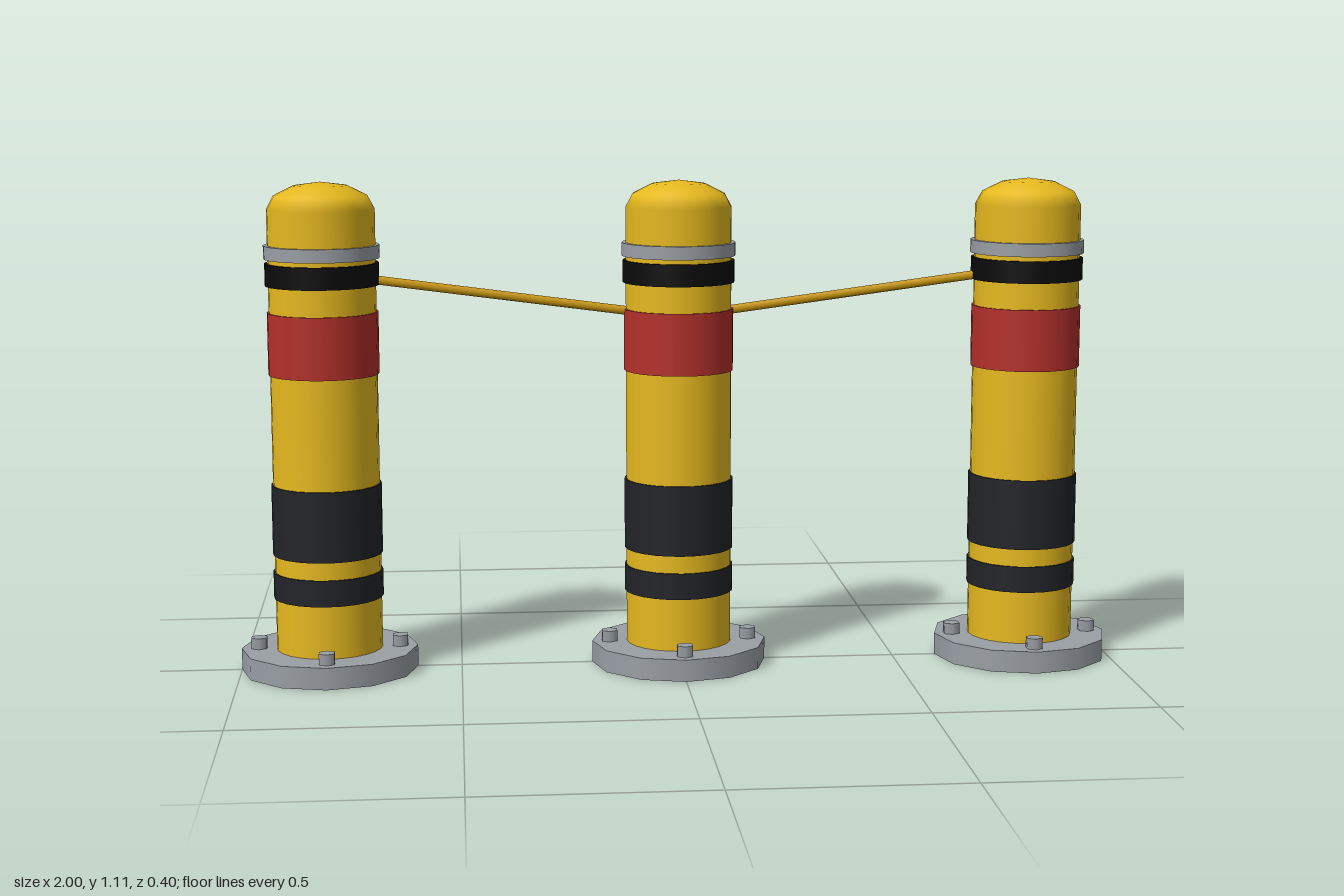
import * as THREE from 'three';

const mat = (color) => new THREE.MeshStandardMaterial({ color });

export function createModel() {
  const model = new THREE.Group();
  const yellow = mat(0xe5b81e), red = mat(0xb3302a), black = mat(0x222428);
  const rubber = mat(0x0b0b0b), steel = mat(0x9a9fa5), rope = mat(0xc8960f);

  // upright cylinder between two heights
  function ring(parent, name, radius, y0, y1, material, sides = 24, x = 0, z = 0) {
    const mesh = new THREE.Mesh(new THREE.CylinderGeometry(radius, radius, y1 - y0, sides), material);
    mesh.name = name;
    mesh.position.set(x, (y0 + y1) / 2, z);
    parent.add(mesh);
  }

  function bollard(name, x) {
    const post = new THREE.Group();
    post.name = name;
    post.position.x = x;

    ring(post, 'basePlate', 0.2, 0, 0.05, steel, 12);
    ring(post, 'tube', 0.12, 0.05, 1.05, yellow);

    // flattened dome cap
    const cap = new THREE.Mesh(
      new THREE.SphereGeometry(0.12, 24, 3, 0, Math.PI * 2, 0, Math.PI / 2), yellow);
    cap.name = 'domeCap';
    cap.scale.y = 0.5;
    cap.position.y = 1.05;
    post.add(cap);

    // painted bands and collars
    ring(post, 'lowerBlackBand', 0.124, 0.17, 0.23, black);
    ring(post, 'wideBlackBand', 0.124, 0.27, 0.43, black);
    ring(post, 'redBand', 0.124, 0.68, 0.82, red);
    ring(post, 'rubberCollar', 0.127, 0.88, 0.93, rubber);
    ring(post, 'steelCollar', 0.129, 0.94, 0.97, steel);

    // hex anchor bolts
    for (let i = 0; i < 4; i++) {
      const a = (i * Math.PI) / 2;
      ring(post, 'anchorBolt', 0.02, 0.05, 0.075, steel, 6, 0.16 * Math.cos(a), 0.16 * Math.sin(a));
    }
    model.add(post);
  }

  bollard('rightBollard', -0.8);
  bollard('middleBollard', 0);
  bollard('leftBollard', 0.8);

  // ropes dipping toward the middle post
  for (const side of [-1, 1]) {
    const path = new THREE.LineCurve3(
      new THREE.Vector3(side * 0.69, 0.891, 0), new THREE.Vector3(side * 0.1, 0.813, 0));
    const mesh = new THREE.Mesh(new THREE.TubeGeometry(path, 1, 0.01, 8), rope);
    mesh.name = side < 0 ? 'rightRope' : 'leftRope';
    model.add(mesh);
  }
  return model;
}
